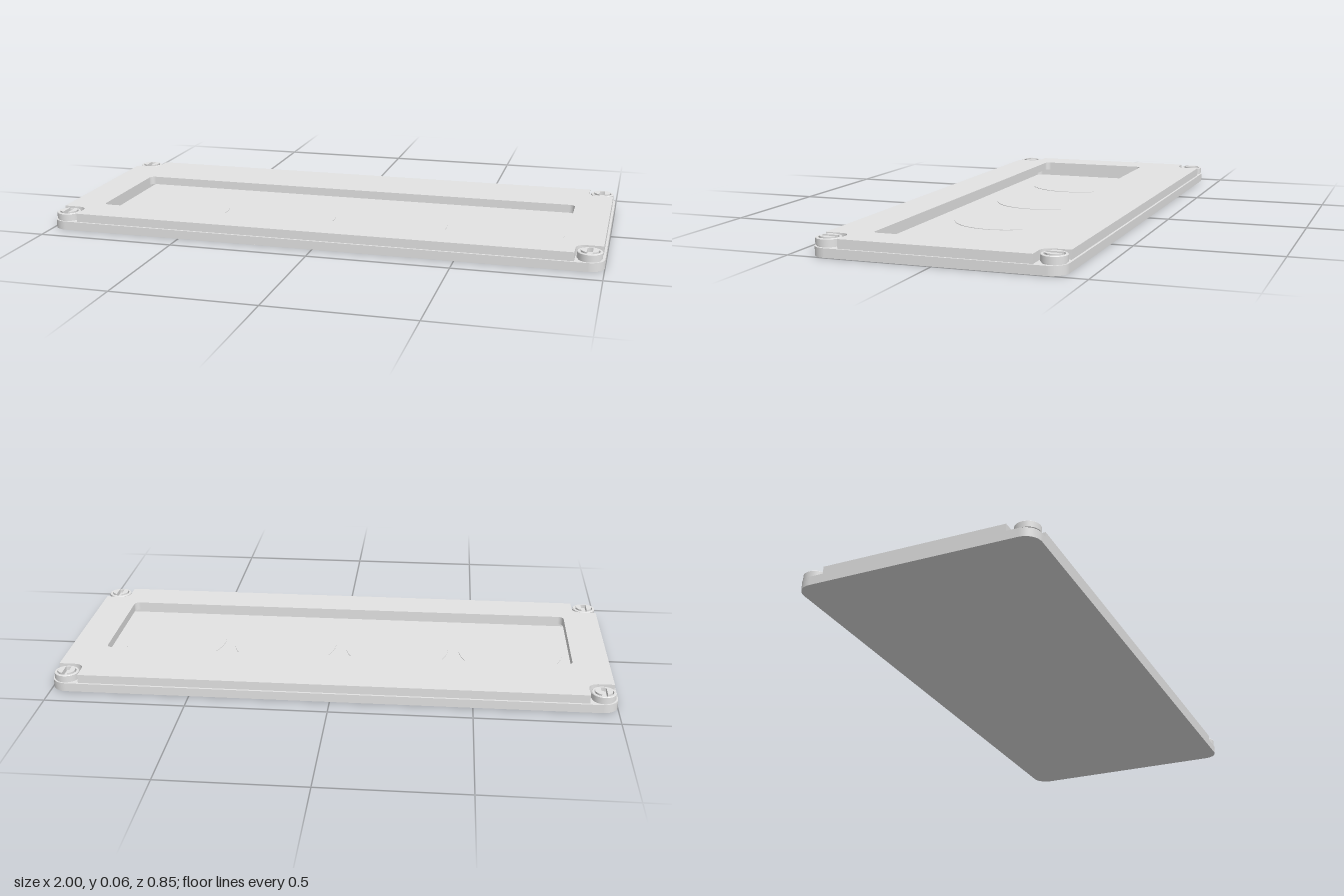
import * as THREE from 'three';
import { mergeGeometries } from 'three/addons/utils/BufferGeometryUtils.js';

const BASE = { x: 1, z: 0.424 };                 // half size of the base
const WIN = { x: 0.86, z: 0.22, cz: 0.05 };      // window half sizes and z centre
const Y = { under: 0.005, floor: 0.006, seam: 0.036, top: 0.067 };

// Rounded rectangle; shape y becomes -z once laid flat
function roundedRect(target, hx, hy, r, cy = 0) {
  target.moveTo(hx, cy - hy + r);
  target.absarc(hx - r, cy + hy - r, r, 0, Math.PI / 2);
  target.absarc(-hx + r, cy + hy - r, r, Math.PI / 2, Math.PI);
  target.absarc(-hx + r, cy - hy + r, r, Math.PI, Math.PI * 1.5);
  target.absarc(hx - r, cy - hy + r, r, Math.PI * 1.5, Math.PI * 2);
  target.closePath();
  return target;
}

// Lid outline with a rounded notch at each corner to clear the screws
function lidShape() {
  const ox = 0.992, oz = 0.416, nx = 0.9, nz = 0.325, r = 0.04;
  const s = new THREE.Shape();
  s.moveTo(ox, -nz);
  s.lineTo(ox, nz);
  s.lineTo(nx + r, nz);
  s.quadraticCurveTo(nx, nz, nx, nz + r);
  s.lineTo(nx, oz);
  s.lineTo(-nx, oz);
  s.lineTo(-nx, nz + r);
  s.quadraticCurveTo(-nx, nz, -nx - r, nz);
  s.lineTo(-ox, nz);
  s.lineTo(-ox, -nz);
  s.lineTo(-nx - r, -nz);
  s.quadraticCurveTo(-nx, -nz, -nx, -nz - r);
  s.lineTo(-nx, -oz);
  s.lineTo(nx, -oz);
  s.lineTo(nx, -nz - r);
  s.quadraticCurveTo(nx, -nz, nx + r, -nz);
  s.closePath();
  return s;
}

// Shape laid flat and raised to a plate
const plate = (shape, depth) => new THREE.ExtrudeGeometry(shape, {
  depth, bevelEnabled: false, curveSegments: 16 }).rotateX(-Math.PI / 2);

// Turned profile with every edge kept sharp
const turned = (profile) => mergeGeometries(profile.slice(1).map((p, i) =>
  new THREE.LatheGeometry([new THREE.Vector2(...profile[i]), new THREE.Vector2(...p)], 40)));

export function createModel() {
  const model = new THREE.Group();
  model.name = 'framedPanel';
  const grey = new THREE.MeshStandardMaterial({ color: 0xe3e3e3 });
  grey.name = 'light grey';

  const add = (name, geometry, y = 0, parent = model) => {
    const mesh = new THREE.Mesh(geometry, grey);
    mesh.name = name;
    mesh.position.y = y;
    parent.add(mesh);
    return mesh;
  };

  // Shallow tray: thin floor and a rim whose opening is wider than the window
  const outline = () => roundedRect(new THREE.Shape(), BASE.x, BASE.z, 0.055);
  add('trayFloor', plate(outline(), Y.floor - Y.under), Y.under);
  const rim = outline();
  rim.holes.push(roundedRect(new THREE.Path(), 0.89, 0.32, 0.02));
  add('trayRim', plate(rim, Y.seam - Y.floor), Y.floor);

  // Lid frame around the window
  const lid = lidShape();
  lid.holes.push(roundedRect(new THREE.Path(), WIN.x, WIN.z, 0.02, -WIN.cz));
  add('lidFrame', plate(lid, Y.top - Y.seam), Y.seam);

  // Row of four thin discs on the tray floor
  const discGeometry = new THREE.CylinderGeometry(0.195, 0.195, 0.002, 64);
  for (let i = 0; i < 4; i++) {
    add('floorDisc', discGeometry, Y.floor + 0.001).position.set((i - 1.5) * 0.43, Y.floor + 0.001, WIN.cz);
  }

  // Corner screws: neck, cupped collar and slotted head
  const collarGeometry = turned([[0.039, 0], [0.039, 0.005], [0.043, 0.005], [0.043, 0.026],
    [0.041, 0.028], [0.034, 0.028], [0.034, 0.014], [0, 0.014]]);

  // Half of the round head, leaving the slot open
  const headR = 0.03, slot = 0.01, a = Math.acos(slot / headR);
  const half = new THREE.Shape();
  half.absarc(0, 0, headR, -a, a);
  half.closePath();
  const halfGeometry = plate(half, 0.018);

  for (const sx of [-1, 1]) for (const sz of [-1, 1]) {
    const screw = new THREE.Group();
    screw.name = 'cornerScrew';
    screw.position.set(sx * 0.949, Y.seam, sz * 0.378);
    add('screwCollar', collarGeometry, 0, screw);
    for (const turn of [0, Math.PI]) add('screwHeadHalf', halfGeometry, 0.014, screw).rotation.y = turn;
    model.add(screw);
  }
  return model;
}
